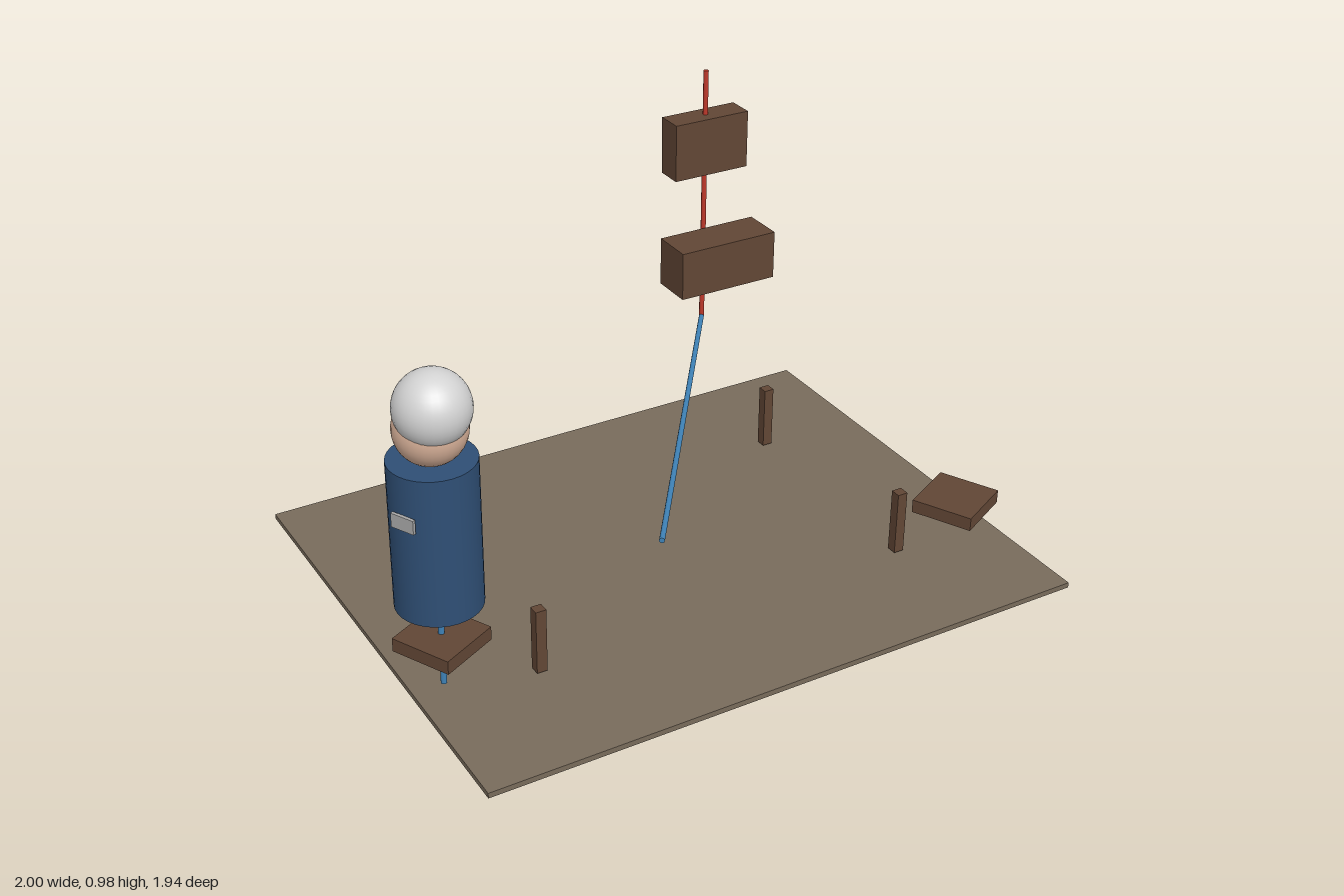
import * as THREE from 'three';

const paint = (name, color) => {
  const m = new THREE.MeshStandardMaterial({ color });
  m.name = name;
  return m;
};

export function createModel() {
  const model = new THREE.Group();
  model.name = 'roomScene';

  const floorTan = paint('floorTan', 0x786b5b);
  const wood = paint('darkWood', 0x614635);
  const navy = paint('navyCloth', 0x2f4f75);
  const blue = paint('blueRod', 0x3f83b8);
  const red = paint('redRod', 0xc0392b);
  const skin = paint('skin', 0xd8b199);
  const hairGrey = paint('hairGrey', 0xd3d3d3);
  const badgeGrey = paint('badgeGrey', 0xa8a8a8);

  const add = (name, geometry, material, x, y, z, parent = model) => {
    const mesh = new THREE.Mesh(geometry, material);
    mesh.name = name;
    mesh.position.set(x, y, z);
    parent.add(mesh);
    return mesh;
  };
  const box = (name, material, size, pos, parent) =>
    add(name, new THREE.BoxGeometry(...size), material, ...pos, parent);

  // Straight round rod between two points
  const rod = (name, material, from, to, radius = 0.009) => {
    const a = new THREE.Vector3(...from), b = new THREE.Vector3(...to);
    const dir = b.clone().sub(a);
    const mid = a.clone().add(b).multiplyScalar(0.5);
    const mesh = add(name, new THREE.CylinderGeometry(radius, radius, dir.length(), 8), material, mid.x, mid.y, mid.z);
    mesh.quaternion.setFromUnitVectors(new THREE.Vector3(0, 1, 0), dir.normalize());
  };

  // Floor slab and four short posts
  box('floor', floorTan, [1.83, 0.016, 1.45], [-0.035, 0.008, 0.245]);
  for (const x of [-0.615, 0.547])
    for (const z of [-0.102, 0.597])
      box('post', wood, [0.031, 0.195, 0.031], [x, 0.122, z]);

  // Two turned seats
  const turn = THREE.MathUtils.degToRad(27);
  for (const [x, z] of [[-0.868, 0.543], [0.696, 0.665]])
    box('seat', wood, [0.182, 0.04, 0.182], [x, 0.179, z]).rotation.y = turn;

  // Tall pole, its floor rod and the two hanging blocks
  rod('pole', red, [0.815, 0.04, -0.927], [0.815, 0.955, -0.927]);
  rod('floorRod', blue, [-0.035, 0.042, 0.248], [0.815, 0.042, -0.927]);
  box('upperBlock', wood, [0.28, 0.2, 0.094], [0.815, 0.7, -0.927]);
  box('lowerBlock', wood, [0.365, 0.17, 0.148], [0.815, 0.307, -0.83]);

  // Seated figure
  const x = -0.869, z = 0.543;
  rod('legRod', blue, [x, 0.04, z], [x, 0.31, z]);
  add('torso', new THREE.CylinderGeometry(0.117, 0.117, 0.427, 32), navy, x, 0.513, z);
  add('head', new THREE.SphereGeometry(0.097, 32, 20), skin, x, 0.812, z);
  add('hair', new THREE.SphereGeometry(0.101, 32, 20), hairGrey, x, 0.877, z + 0.018);

  // Small plate on the figure's side
  const side = new THREE.Group();
  side.name = 'sideBadge';
  side.position.set(x, 0.6, z);
  side.rotation.y = turn;
  model.add(side);
  box('badge', badgeGrey, [0.009, 0.04, 0.07], [-0.122, 0, 0], side);

  return model;
}
